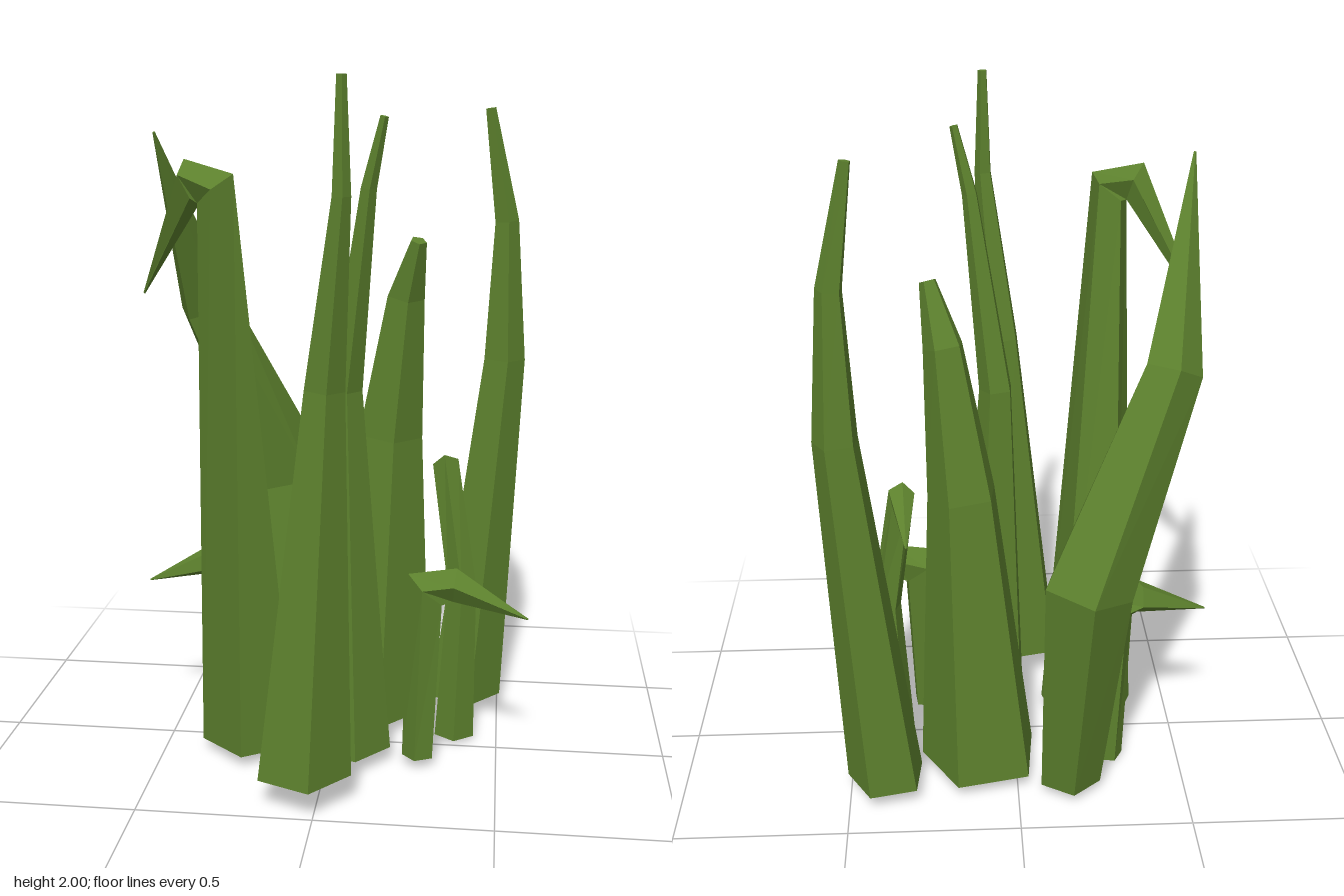
import * as THREE from 'three';

const SIDES = 5;
const UP = new THREE.Vector3(0, 1, 0);

// Five-sided stalk along a path; rings tilt with the bends and shrink by the taper.
function bladeGeometry(path, radius, taper, phase) {
  const pts = path.map((p) => new THREE.Vector3(...p));
  const last = pts.length - 1;
  const dirs = pts.slice(1).map((p, i) => p.clone().sub(pts[i]).normalize());
  const position = [];
  const index = [];
  pts.forEach((p, i) => {
    const d = i === 0 ? UP : i === last ? dirs[last - 1] : dirs[i - 1].clone().add(dirs[i]).normalize();
    const q = new THREE.Quaternion().setFromUnitVectors(UP, d);
    const r = radius * taper[i];
    for (let k = 0; k < SIDES; k++) {
      const a = phase + (k / SIDES) * Math.PI * 2;
      const v = new THREE.Vector3(Math.cos(a) * r, 0, Math.sin(a) * r).applyQuaternion(q).add(p);
      position.push(v.x, v.y, v.z);
    }
  });
  for (let i = 0; i < last; i++) {
    for (let k = 0; k < SIDES; k++) {
      const a = i * SIDES + k;
      const b = i * SIDES + ((k + 1) % SIDES);
      index.push(a, a + SIDES, b, b, a + SIDES, b + SIDES);
    }
  }
  // flat end caps
  const t = last * SIDES;
  for (let k = 1; k < SIDES - 1; k++) index.push(0, k, k + 1, t, t + k + 1, t + k);
  const g = new THREE.BufferGeometry();
  g.setAttribute('position', new THREE.Float32BufferAttribute(position, 3));
  g.setIndex(index);
  const flat = g.toNonIndexed();
  flat.computeVertexNormals();
  return flat;
}

export function createModel() {
  const group = new THREE.Group();
  group.name = 'grassClump';
  const green = new THREE.MeshStandardMaterial({ color: 0x5c802d, flatShading: true });
  green.name = 'leafGreen';

  // One kind of blade shares its taper and the turn of its sides.
  const kind = (taper, phase) => (name, radius, ...path) => {
    const mesh = new THREE.Mesh(bladeGeometry(path, radius, taper, phase), green);
    mesh.name = name;
    group.add(mesh);
  };
  const slim = kind([1, 0.42, 0.19, 0.1], 0.08);
  const stout = kind([1, 0.56, 0.32, 0.135], 0.1);
  const drooping = kind([1, 0.45, 0.4, 0.02], 0.38);
  const curled = kind([1, 0.72, 0.65, 0.05], 0.3);
  const leaning = kind([1, 1.4, 0.9, 0.04], 0.87);
  const hooked = kind([1, 1.45, 1.1, 0.05], 0.5);

  // upright blades, base to tip
  slim('frontTallBlade', 0.138, [-0.04, 0.09, 0.39], [0.02, 1.19, 0.382], [0.07, 1.7, 0.425], [0.07, 2, 0.425]);
  slim('middleTallBlade', 0.122, [0.065, 0.05, 0.125], [0.045, 1.13, 0.1], [0.115, 1.7, 0.16], [0.158, 1.89, 0.18]);
  stout('thickBlade', 0.183, [0.105, 0.04, -0.19], [0.15, 0.93, -0.195], [0.197, 1.36, -0.16], [0.237, 1.53, -0.105]);
  stout('backRightTallBlade', 0.118, [0.39, 0.05, -0.3], [0.49, 1.15, -0.312], [0.488, 1.57, -0.3], [0.433, 1.9, -0.285]);

  // blades that fold over near the top
  drooping('droopingTallBlade', 0.15, [-0.238, 0.035, 0.073], [-0.288, 1.7, 0.22], [-0.362, 1.72, 0.205], [-0.535, 1.39, 0.065]);
  curled('shortCurledBlade', 0.062, [0.37, 0.012, -0.065], [0.385, 0.5, -0.06], [0.33, 0.87, -0.075], [0.315, 0.78, -0.235]);
  hooked('shortLeftBlade', 0.047, [-0.285, 0, -0.15], [-0.3, 0.53, -0.133], [-0.37, 0.54, -0.115], [-0.58, 0.47, -0.075]);
  hooked('shortRightBlade', 0.048, [0.27, 0.03, 0.13], [0.285, 0.545, 0.11], [0.37, 0.56, 0.1], [0.58, 0.485, 0.165]);

  // bent blade, widest at the knee
  leaning('leaningBlade', 0.093, [-0.155, 0.03, -0.305], [-0.185, 0.73, -0.4], [-0.42, 1.31, -0.24], [-0.5, 1.84, 0.045]);
  return group;
}
